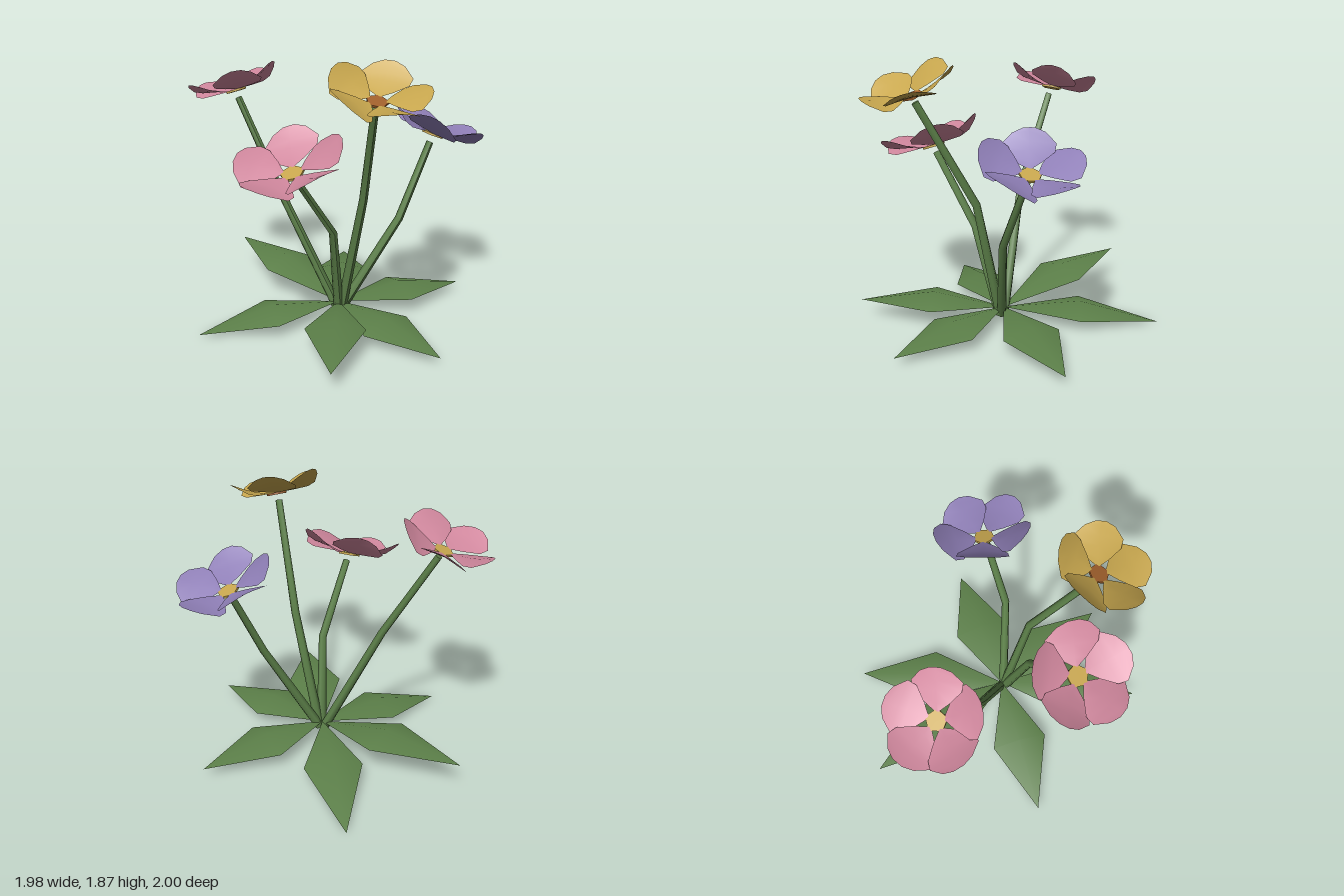
import * as THREE from 'three';

const mat = (name, color) => {
  const m = new THREE.MeshStandardMaterial({ color, side: THREE.DoubleSide });
  m.name = name;
  return m;
};
const UP = new THREE.Vector3(0, 1, 0);
const V = (p) => new THREE.Vector3(...p);

function surface(points, index) {
  const g = new THREE.BufferGeometry();
  g.setAttribute('position', new THREE.Float32BufferAttribute(points.flat(), 3));
  g.setIndex(index);
  g.computeVertexNormals();
  return g;
}

function mesh(name, geometry, material) {
  const m = new THREE.Mesh(geometry, material);
  m.name = name;
  return m;
}

// Kite-shaped leaf folded along its midrib
function leafGeometry(tip, ridgeY) {
  const base = [0, 0.1, 0.07];
  const dx = tip[0] - base[0], dz = tip[2] - base[2], len = Math.hypot(dx, dz);
  const at = (side) => [
    base[0] + dx * 0.49 - (dz / len) * side * 0.2,
    ridgeY - Math.abs(side) * 0.06,
    base[2] + dz * 0.49 + (dx / len) * side * 0.2,
  ];
  return surface([base, at(-1), at(0), at(1), tip],
    [0, 2, 1, 0, 3, 2, 1, 2, 4, 2, 3, 4]);
}

// Tapered six-sided stem bent through three points
function stemGeometry(pts) {
  const p = pts.map(V);
  const g = new THREE.CylinderGeometry(1, 1, 1, 6, 2);
  const pos = g.attributes.position, v = new THREE.Vector3();
  const radius = [0.035, 0.028, 0.024];
  const turn = p.map((_, k) => {
    const d = p[Math.min(k + 1, 2)].clone().sub(p[Math.max(k - 1, 0)]).normalize();
    return new THREE.Quaternion().setFromUnitVectors(UP, d);
  });
  for (let i = 0; i < pos.count; i++) {
    const k = Math.round((pos.getY(i) + 0.5) * 2);
    v.set(pos.getX(i), 0, pos.getZ(i)).multiplyScalar(radius[k]);
    v.applyQuaternion(turn[k]).add(p[k]);
    pos.setXYZ(i, v.x, v.y, v.z);
  }
  g.computeVertexNormals();
  return g;
}

// Cupped petal along +x: rows of distance and half width, one side lifted to overlap
function petalGeometry() {
  const rows = [[0.055, 0.012], [0.105, 0.078], [0.18, 0.155], [0.235, 0.166], [0.293, 0.1], [0.315, 0.035]];
  const pts = [], index = [];
  rows.forEach(([x, half], r) => {
    for (const s of [-1, 0, 1]) {
      const w = s * half;
      const y = 0.12 * Math.pow(x / 0.32, 1.6) - 0.8 * w * w + 0.12 * w;
      pts.push([x, y, w]);
    }
    if (r === 0) return;
    for (let c = 0; c < 2; c++) {
      const a = (r - 1) * 3 + c, b = a + 3;
      index.push(a, a + 1, b, a + 1, b + 1, b);
    }
  });
  return surface(pts, index);
}

export function createModel() {
  const green = mat('leaf green', 0x5c8049);
  const pink = mat('petal pink', 0xd0879d);
  const purple = mat('petal purple', 0x9080b8);
  const yellow = mat('petal yellow', 0xc8a74e);
  const orange = mat('centre orange', 0xa0602c);
  const model = new THREE.Group();
  model.name = 'flowerPlant';

  // Rosette of leaves: tip and midrib height
  [
    [[-0.39, 0.23, -1.0], 0.265],
    [[0.44, 0.0, -0.93], 0.155],
    [[-0.99, 0.01, 0.03], 0.15],
    [[0.96, 0.07, 0.04], 0.17],
    [[0.34, 0.06, 0.95], 0.15],
    [[-0.41, 0.14, 0.99], 0.21],
  ].forEach(([tip, ridge]) => model.add(mesh('leaf', leafGeometry(tip, ridge), green)));

  // Flowers with their stems
  const petal = petalGeometry();
  const disc = new THREE.CylinderGeometry(0.074, 0.074, 0.015, 5).rotateY(Math.PI / 2);
  const flowers = [
    { name: 'yellowFlower', petals: yellow, centre: orange, at: [0, 1.665, 0.67], facing: [0, 1, 0.37],
      size: 0.98, phase: 20, stem: [[0.01, 0.06, 0.1], [0.085, 0.92, 0.29], [-0.005, 1.62, 0.655]] },
    { name: 'purpleFlower', petals: purple, centre: yellow, at: [0.65, 1.275, 0.15], facing: [0.39, 1, 0],
      size: 1.03, phase: 55, stem: [[0.015, 0.06, 0.09], [0.38, 0.73, 0.22], [0.625, 1.225, 0.16]] },
    { name: 'backPinkFlower', petals: pink, centre: yellow, at: [-0.53, 1.53, -0.52], facing: [-0.21, 1, -0.3],
      size: 0.98, phase: 12, stem: [[-0.01, 0.06, 0.06], [-0.32, 0.86, -0.19], [-0.52, 1.485, -0.495]] },
    { name: 'frontPinkFlower', petals: pink, centre: yellow, at: [-0.44, 1.205, 0.42], facing: [-0.33, 1, 0.2],
      size: 1.1, phase: 32, stem: [[-0.01, 0.06, 0.1], [-0.105, 0.7, 0.235], [-0.415, 1.165, 0.405]] },
  ];
  for (const f of flowers) {
    model.add(mesh('stem', stemGeometry(f.stem), green));
    const head = new THREE.Group();
    head.name = f.name;
    head.position.set(...f.at);
    head.quaternion.setFromUnitVectors(UP, V(f.facing).normalize());
    head.scale.setScalar(f.size);
    const start = THREE.MathUtils.degToRad(f.phase + 36);
    for (let i = 0; i < 5; i++) {
      const p = mesh('petal', petal, f.petals);
      p.rotation.y = start + (i * Math.PI * 2) / 5;
      head.add(p);
    }
    const c = mesh('flowerCentre', disc, f.centre);
    c.rotation.y = start;
    head.add(c);
    model.add(head);
  }
  return model;
}
